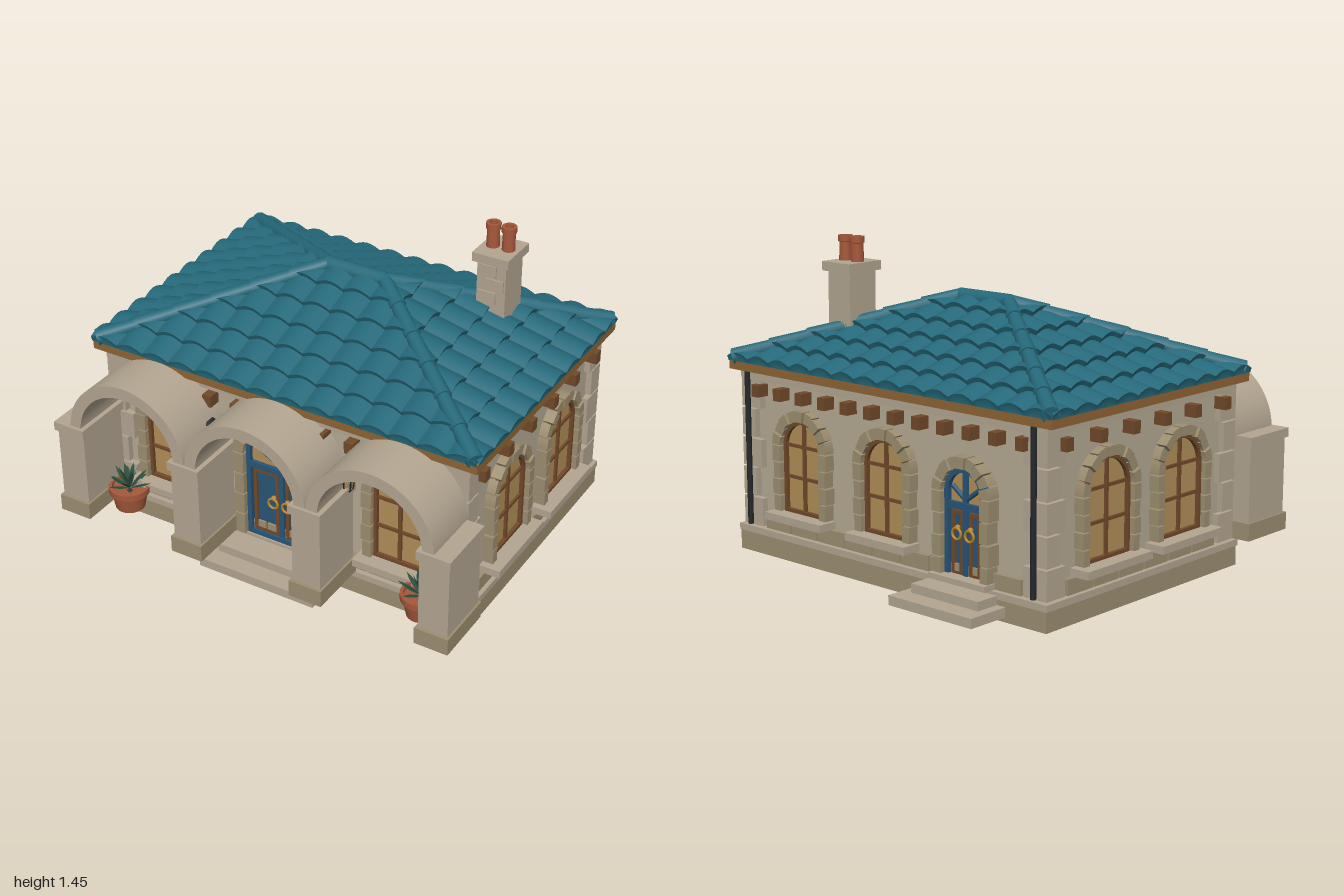
import * as THREE from 'three';
import { toCreasedNormals } from 'three/addons/utils/BufferGeometryUtils.js';

const mat = (color, side = THREE.FrontSide) => new THREE.MeshStandardMaterial({ color, side });
const M = {
  wall: mat(0xb5aa94), light: mat(0xb3a691), stone: mat(0x9d8e70), tile: mat(0x25697a, THREE.DoubleSide),
  fascia: mat(0x8f6433), wood: mat(0x71492a), glass: mat(0xb18f58), blue: mat(0x285578),
  clay: mat(0xa5583a, THREE.DoubleSide), black: mat(0x23282c), leaf: mat(0x2f5140, THREE.DoubleSide), brass: mat(0xb5852f),
};

function add(parent, name, geo, material, x = 0, y = 0, z = 0) {
  const m = new THREE.Mesh(geo, material);
  m.name = name;
  m.position.set(x, y, z);
  parent.add(m);
  return m;
}
// box given by its minimum and maximum on each axis
const box = (p, name, material, x0, x1, y0, y1, z0, z1) =>
  add(p, name, new THREE.BoxGeometry(x1 - x0, y1 - y0, z1 - z0), material, (x0 + x1) / 2, (y0 + y1) / 2, (z0 + z1) / 2);

// tapered rod from a to b
function rod(p, name, material, a, b, ra, rb, sides = 12) {
  const m = add(p, name, new THREE.CylinderGeometry(rb, ra, a.distanceTo(b), sides), material);
  m.position.copy(a).lerp(b, 0.5);
  m.quaternion.setFromUnitVectors(new THREE.Vector3(0, 1, 0), b.clone().sub(a).normalize());
  return m;
}
function group(parent, name, x = 0, y = 0, z = 0, ry = 0) {
  const g = new THREE.Group();
  g.name = name;
  g.position.set(x, y, z);
  g.rotation.y = ry;
  parent.add(g);
  return g;
}
const extrude = (shape, depth) =>
  toCreasedNormals(new THREE.ExtrudeGeometry(shape, { depth, bevelEnabled: false, curveSegments: 20 }), 0.5);

// round-headed panel, origin at the centre of the arch
function archPanel(r, drop, inner = 0) {
  const trace = (s, q, d) => s.moveTo(q, -d).lineTo(q, 0).absarc(0, 0, q, 0, Math.PI, false).lineTo(-q, -d).closePath();
  const s = trace(new THREE.Shape(), r, drop);
  if (inner) s.holes.push(trace(new THREE.Path(), inner, drop - (r - inner)));
  return s;
}
// ring sector used for arches and wedge stones
function sector(r0, r1, a0, a1) {
  const s = new THREE.Shape();
  s.absarc(0, 0, r1, a0, a1, false);
  s.absarc(0, 0, r0, a1, a0, true);
  return s.closePath();
}

// wedge stones over an opening and blocks down both sides
function surround(p, r, w, bottom, spring, depth) {
  const n = 9, step = Math.PI / n;
  for (let i = 0; i < n; i++)
    add(p, 'archStone', extrude(sector(r, r + w, i * step + 0.02, (i + 1) * step - 0.02), depth - (i % 2) * 0.008), M.stone, 0, spring, 0);
  const rows = 4, h = (spring - bottom) / rows;
  for (const s of [-1, 1]) for (let i = 0; i < rows; i++) {
    const ww = i % 2 ? w : w * 0.85, c = s * (r + ww / 2);
    box(p, 'jambStone', M.stone, c - ww / 2, c + ww / 2, bottom + i * h + 0.003, bottom + (i + 1) * h - 0.003, 0, depth);
  }
}

function addWindow(face, x, r, spring, top, sillHalf) {
  const g = group(face, 'window', x), bottom = 0.225;
  add(g, 'glass', extrude(archPanel(r, spring - bottom), 0.008), M.glass, 0, spring, 0);
  add(g, 'windowFrame', extrude(archPanel(r, spring - bottom, r - 0.016), 0.026), M.wood, 0, spring, 0);
  box(g, 'verticalBar', M.wood, -0.008, 0.008, bottom, spring + r - 0.01, 0, 0.02);
  for (const y of [0.39, 0.535]) box(g, 'crossBar', M.wood, -r + 0.01, r - 0.01, y - 0.007, y + 0.007, 0, 0.019);
  surround(g, r, top - spring - r, bottom, spring, 0.05);
  box(g, 'sill', M.light, -sillHalf, sillHalf, 0.19, 0.225, 0, 0.098);
}

function addDoor(face, x, r, spring, w) {
  const g = group(face, 'door', x), bottom = 0.12, split = spring - 0.06;
  add(g, 'doorPanel', extrude(archPanel(r, spring - bottom), 0.015), M.blue, 0, spring, 0);
  add(g, 'doorFrame', extrude(archPanel(r, spring - bottom, r - 0.022), 0.04), M.blue, 0, spring, 0);
  add(g, 'fanlight', extrude(archPanel(r - 0.022, 0.045), 0.006), M.glass, 0, spring, 0.014);
  box(g, 'transom', M.blue, -r + 0.01, r - 0.01, split - 0.012, split + 0.018, 0, 0.038);
  box(g, 'centreBar', M.blue, -0.012, 0.012, bottom, spring + r - 0.01, 0, 0.034);
  for (const s of [-1, 1]) {
    // fan bars, framed leaf and ring handle
    rod(g, 'fanBar', M.blue, new THREE.Vector3(0, spring - 0.03, 0.024), new THREE.Vector3(s * r * 0.68, spring + r * 0.22, 0.024), 0.011, 0.011, 6);
    const a = 0.018, b = r - 0.028, leaf = new THREE.Shape();
    const rect = (p, i) => p.moveTo(a + i, 0.14 + i).lineTo(b - i, 0.14 + i).lineTo(b - i, split - 0.02 - i).lineTo(a + i, split - 0.02 - i).closePath();
    rect(leaf, 0);
    leaf.holes.push(rect(new THREE.Path(), 0.016));
    add(g, 'leafMoulding', extrude(leaf, 0.012), M.wood, s > 0 ? 0 : -(a + b), 0, 0.015);
    add(g, 'ringHandle', new THREE.TorusGeometry(0.024, 0.006, 8, 20), M.brass, s * 0.036, 0.325, 0.045);
    add(g, 'handleBoss', new THREE.SphereGeometry(0.013, 12, 8), M.brass, s * 0.036, 0.35, 0.038);
  }
  surround(g, r, w, bottom, spring, 0.065);
}

// one wall: plinth blocks and eave brackets in the frame of its face
function dressWall(face, half, brackets) {
  const n = Math.round(half * 2 / 0.165), w = half * 2 / n;
  for (let i = 0; i < n; i++)
    box(face, 'plinthBlock', M.stone, -half + i * w + 0.005, -half + (i + 1) * w - 0.005, 0.12, 0.188, 0, 0.025);
  for (const x of brackets) for (const s of [-1, 1])
    box(face, 'eaveBracket', M.wood, s * x - 0.022, s * x + 0.022, 0.735, 0.79, 0, 0.06);
}

// one roof slope of overlapping barrel tiles, cut to the hips
function slopeGeometry(half, ridgeHalf, eave, ridge, strips) {
  const rows = 6, per = 6, nx = strips * per, levels = [[0, -1]];
  for (let k = 0; k < rows; k++) levels.push([k / rows, 0], [k / rows, 1]);
  levels.push([1, 0]);
  const pos = [], idx = [];
  for (const [t, h] of levels) for (let i = 0; i <= nx; i++) {
    const lim = half + (ridgeHalf - half) * t;
    const x = THREE.MathUtils.clamp(-half + 2 * half * i / nx, -lim, lim);
    const arch = Math.abs(Math.sin((x + half) / (2 * half) * strips * Math.PI));
    const lift = h < 0 ? 0 : arch * 0.022 + h * 0.02;
    pos.push(x, 0.885 + 0.305 * t + lift, eave + (ridge - eave) * t + (h > 0 ? 0.008 : 0));
  }
  for (let j = 0; j < levels.length - 1; j++) for (let i = 0; i < nx; i++) {
    const a = j * (nx + 1) + i, b = a + nx + 1;
    idx.push(a, a + 1, b, a + 1, b + 1, b);
  }
  const g = new THREE.BufferGeometry();
  g.setAttribute('position', new THREE.Float32BufferAttribute(pos, 3));
  g.setIndex(idx);
  return toCreasedNormals(g, 0.6);
}

export function createModel() {
  const root = new THREE.Group(), ZC = -0.042;
  root.name = 'house';

  // base, walls, cornice
  box(root, 'base', M.stone, -0.93, 0.93, 0, 0.09, -0.7, 0.612);
  box(root, 'baseCoping', M.light, -0.935, 0.935, 0.09, 0.12, -0.703, 0.618);
  box(root, 'walls', M.wall, -0.89, 0.89, 0.12, 0.85, -0.655, 0.57);
  box(root, 'cornice', M.light, -0.92, 0.92, 0.805, 0.846, -0.685, 0.6);
  box(root, 'fascia', M.fascia, -0.965, 0.965, 0.846, 0.886, -0.715, 0.63);

  // wall faces with their openings
  const front = group(root, 'frontWall', 0, 0, 0.57), back = group(root, 'backWall', 0, 0, -0.655, Math.PI);
  const across = [0.072, 0.216, 0.36, 0.505, 0.65, 0.795];
  dressWall(front, 0.78, across);
  dressWall(back, 0.78, across);
  for (const s of [-1, 1]) {
    addWindow(front, s * 0.59, 0.125, 0.56, 0.735, 0.19);
    const side = group(root, 'sideWall', s * 0.89, 0, ZC, s * Math.PI / 2);
    dressWall(side, 0.51, [0.107, 0.322, 0.54]);
    for (const x of [-0.25, 0.25]) addWindow(side, x, 0.146, 0.52, 0.71, 0.213);
  }
  addDoor(front, 0, 0.175, 0.55, 0.055);
  for (const x of [0, -0.52]) addWindow(back, x, 0.125, 0.53, 0.705, 0.18);
  addDoor(back, 0.475, 0.11, 0.5, 0.05);
  box(back, 'threshold', M.light, 0.315, 0.635, 0.12, 0.145, 0, 0.09);

  // corner stones and rear downpipes
  for (const sx of [-1, 1]) for (const sz of [-1, 1]) {
    const x = sx * 0.918, z = ZC + sz * 0.642;
    for (let i = 0; i < 5; i++) {
      const lx = i % 2 ? 0.085 : 0.125, lz = i % 2 ? 0.085 : 0.115, y = 0.12 + i * 0.138;
      box(root, 'cornerStone', M.light, Math.min(x, x - sx * lx), Math.max(x, x - sx * lx), y + 0.004, y + 0.134,
        Math.min(z, z - sz * lz), Math.max(z, z - sz * lz));
    }
    if (sz < 0) rod(root, 'downpipe', M.black, new THREE.Vector3(sx * 0.86, 0.13, -0.7), new THREE.Vector3(sx * 0.86, 0.85, -0.7), 0.013, 0.013);
  }

  // hipped roof
  const roof = group(root, 'roof', 0, 0, ZC);
  for (let i = 0; i < 4; i++) {
    const geo = i % 2 ? slopeGeometry(0.675, 0, 0.967, 0.14, 10) : slopeGeometry(0.967, 0.14, 0.675, 0, 14);
    add(roof, 'roofSlope', geo, M.tile).rotation.y = i * Math.PI / 2;
  }
  for (const sx of [-1, 1]) for (const sz of [-1, 1]) {
    const a = new THREE.Vector3(sx * 0.95, 0.9, sz * 0.66), b = new THREE.Vector3(sx * 0.14, 1.193, 0);
    for (let k = 0; k < 6; k++)
      rod(roof, 'hipTile', M.tile, a.clone().lerp(b, k / 6), a.clone().lerp(b, (k + 1) / 6), 0.039, 0.032);
  }
  rod(roof, 'ridgeTile', M.tile, new THREE.Vector3(-0.15, 1.19, 0), new THREE.Vector3(0.15, 1.19, 0), 0.036, 0.036);

  // chimney with two clay pots
  const chimney = group(root, 'chimney', 0.563, 0, -0.32);
  box(chimney, 'shaft', M.light, -0.07, 0.07, 0.98, 1.3, -0.08, 0.08);
  for (let i = 0; i < 3; i++) box(chimney, 'shaftStone', M.light, -0.062 + i % 2 * 0.04, 0.025 + i % 2 * 0.037, 1.1 + i * 0.065, 1.155 + i * 0.065, 0.07, 0.088);
  box(chimney, 'chimneyCap', M.light, -0.088, 0.088, 1.295, 1.338, -0.1, 0.1);
  const flue = [[0.03, 0], [0.028, 0.085], [0.034, 0.088], [0.034, 0.115], [0.02, 0.115], [0.02, 0.02], [0, 0.02]];
  for (const s of [-1, 1]) {
    const geo = toCreasedNormals(new THREE.LatheGeometry(flue.map(p => new THREE.Vector2(...p)), 18), 0.6);
    add(chimney, 'chimneyPot', geo, M.clay, s * 0.038, 1.337, 0);
  }

  // front arcade
  for (const x of [-0.92, -0.307, 0.307, 0.92]) {
    box(root, 'pillar', M.light, x - 0.07, x + 0.07, 0.13, 0.57, 0.62, 0.89);
    box(root, 'pillarBase', M.stone, x - 0.08, x + 0.08, 0.12, 0.2, 0.61, 0.905);
    box(root, 'pillarCap', M.light, x - 0.08, x + 0.08, 0.553, 0.595, 0.61, 0.905);
  }
  for (const x of [-0.613, 0, 0.613])
    add(root, 'archVault', extrude(sector(0.25, 0.305, 0, Math.PI), 0.32), M.light, x, 0.577, 0.57);

  // steps
  box(root, 'frontLowerStep', M.light, -0.295, 0.295, 0.022, 0.065, 0.6, 0.825);
  box(root, 'frontUpperStep', M.light, -0.25, 0.25, 0.065, 0.105, 0.6, 0.74);
  box(root, 'backLowerStep', M.light, -0.71, -0.24, 0.022, 0.065, -0.905, -0.69);
  box(root, 'backUpperStep', M.light, -0.665, -0.285, 0.065, 0.105, -0.815, -0.69);

  // lanterns and potted plants
  const potProfile = [[0, 0], [0.068, 0], [0.083, 0.08], [0.095, 0.082], [0.095, 0.112], [0.08, 0.112], [0.078, 0.095], [0, 0.095]];
  const blade = new THREE.Shape().moveTo(0, 0).quadraticCurveTo(0.026, 0.06, 0, 0.12).quadraticCurveTo(-0.026, 0.06, 0, 0);
  for (const s of [-1, 1]) {
    const lamp = group(root, 'lantern', s * 0.37, 0, 0.655);
    add(lamp, 'lanternHat', new THREE.ConeGeometry(0.06, 0.05, 6), M.black, 0, 0.705, 0);
    add(lamp, 'lanternGlass', new THREE.CylinderGeometry(0.036, 0.024, 0.1, 6), M.glass, 0, 0.63, 0);
    add(lamp, 'lanternFoot', new THREE.ConeGeometry(0.028, 0.035, 6).rotateX(Math.PI), M.black, 0, 0.563, 0);
    for (let i = 0; i < 6; i++) {
      const c = Math.sin(i * Math.PI / 3), d = Math.cos(i * Math.PI / 3);
      rod(lamp, 'lanternBar', M.black, new THREE.Vector3(c * 0.025, 0.58, d * 0.025), new THREE.Vector3(c * 0.037, 0.68, d * 0.037), 0.004, 0.004, 5);
    }
    box(lamp, 'lanternArm', M.black, -0.007, 0.007, 0.715, 0.735, -0.085, 0.005);

    const plant = group(root, 'pottedPlant', s * 0.765, 0.103, 0.7);
    add(plant, 'pot', toCreasedNormals(new THREE.LatheGeometry(potProfile.map(p => new THREE.Vector2(...p)), 24), 0.6), M.clay);
    for (let i = 0; i < 18; i++) {
      const leaf = add(plant, 'leaf', new THREE.ShapeGeometry(blade, 5), M.leaf, 0, 0.095, 0);
      leaf.rotation.set([0.35, 0.8, 1.15][i % 3], i * Math.PI / 9, 0, 'YXZ');
    }
  }
  return root;
}
